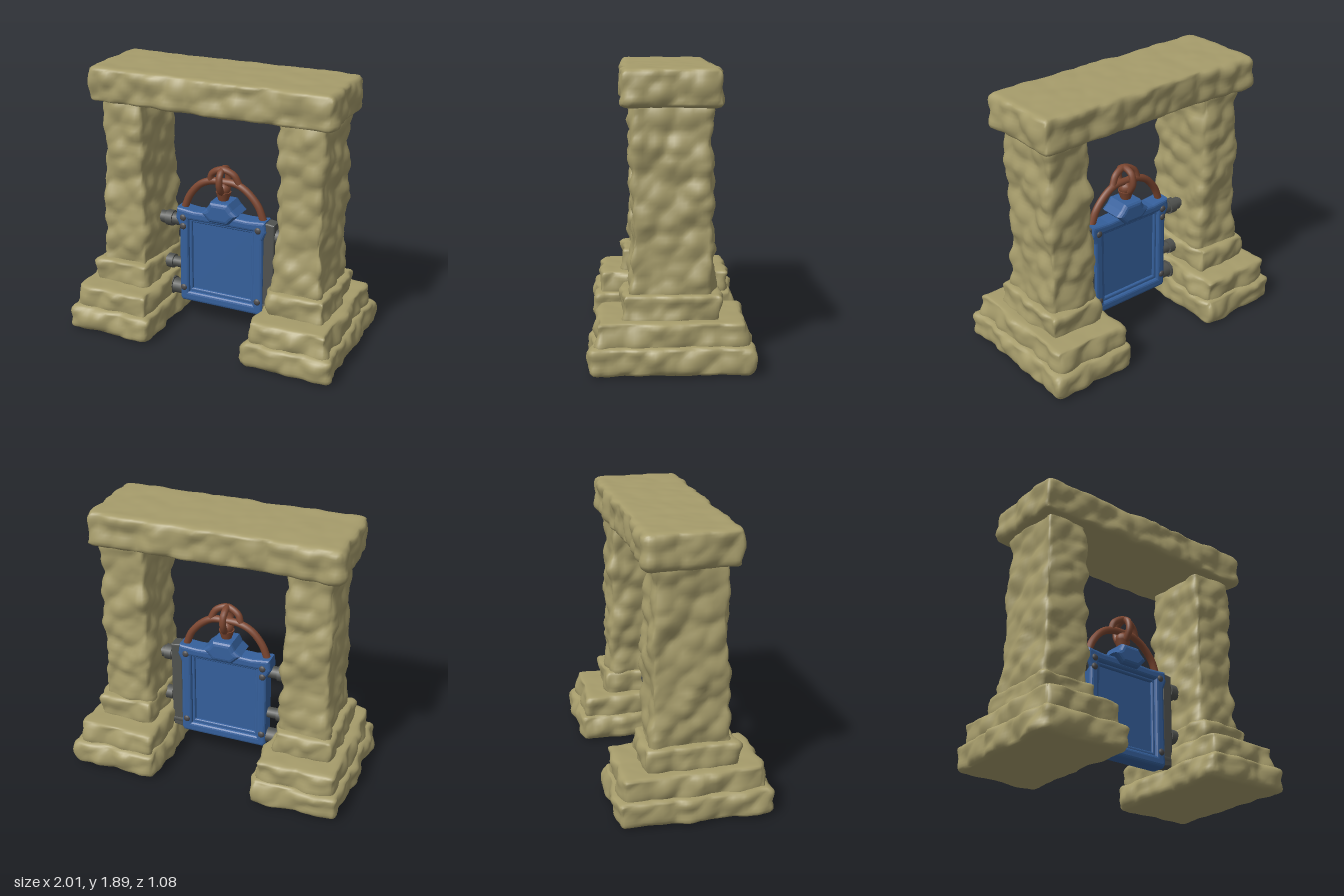
import * as THREE from 'three';
import { mergeVertices } from 'three/addons/utils/BufferGeometryUtils.js';

const mat = (name, color, extra = {}) => {
  const m = new THREE.MeshStandardMaterial({ color, ...extra });
  m.name = name;
  return m;
};

// Seeded hash, and distance to the nearest scattered point (chipped-stone pattern)
const hash = (x, y, z, k) => {
  const s = Math.sin(x * 127.1 + y * 311.7 + z * 74.7 + k * 53.3) * 43758.5453;
  return s - Math.floor(s);
};
function chips(x, y, z) {
  const ix = Math.floor(x), iy = Math.floor(y), iz = Math.floor(z);
  let best = 9;
  for (let a = -1; a < 2; a++) for (let b = -1; b < 2; b++) for (let c = -1; c < 2; c++) {
    const i = ix + a, j = iy + b, k = iz + c;
    best = Math.min(best, Math.hypot(i + hash(i, j, k, 1) - x, j + hash(i, j, k, 2) - y, k + hash(i, j, k, 3) - z));
  }
  return best;
}

// Rough block: a rounded box whose sides are chipped, with flatter top and bottom
function stoneGeometry(w, h, d, cx, cy, radius, flare = 0) {
  const n = (s) => Math.ceil(s / 0.024);
  let g = new THREE.BoxGeometry(w, h, d, n(w), n(h), n(d));
  g.deleteAttribute('normal');
  g.deleteAttribute('uv');
  g = mergeVertices(g, 1e-4);
  const pos = g.attributes.position;
  const p = new THREE.Vector3(), q = new THREE.Vector3(), dir = new THREE.Vector3();
  const inner = new THREE.Vector3(w / 2 - radius, h / 2 - radius, d / 2 - radius);
  for (let i = 0; i < pos.count; i++) {
    p.fromBufferAttribute(pos, i);
    q.copy(p).clamp(inner.clone().negate(), inner);
    dir.copy(p).sub(q).normalize();
    const X = p.x + cx, Y = p.y + cy, Z = p.z;
    const bump = 0.05 * (0.47 - chips(X * 7.5, Y * 7.5, Z * 7.5))
      + 0.045 * (0.47 - chips(X * 3.5 + 9, Y * 3.5, Z * 3.5));
    p.copy(q).addScaledVector(dir, radius);
    p.x += dir.x * bump;
    p.z += dir.z * bump;
    p.y += dir.y * bump * 0.15;
    const f = 1 + flare * (0.5 - p.y / h);
    pos.setXYZ(i, p.x * f, p.y, p.z * f);
  }
  g.computeVertexNormals();
  return g;
}

export function createModel() {
  const model = new THREE.Group();
  const stone = mat('sandstone', 0xa69c6b);
  const blue = mat('blue paint', 0x35609c);
  const iron = mat('dark iron', 0x50524f);
  const rope = mat('brown rope', 0x7c4630);
  const stud = mat('stud metal', 0x4b4a4c);

  const add = (name, geometry, material, x = 0, y = 0, z = 0, parent = model) => {
    const mesh = new THREE.Mesh(geometry, material);
    mesh.name = name;
    mesh.position.set(x, y, z);
    parent.add(mesh);
    return mesh;
  };
  const block = (name, x0, x1, y0, y1, depth, radius, flare) => {
    const cx = (x0 + x1) / 2, cy = (y0 + y1) / 2;
    add(name, stoneGeometry(x1 - x0, y1 - y0, depth, cx, cy, radius, flare), stone, cx, cy, 0);
  };

  // Stone arch: stepped feet, pillars and lintel
  for (const s of [-1, 1]) {
    const side = s > 0 ? 'left' : 'right';
    const pair = (a, b) => (s > 0 ? [a, b] : [-b, -a]);
    block(side + 'BaseStep', ...pair(0.345, 0.985), 0.005, 0.19, 1.03, 0.05);
    block(side + 'MiddleStep', ...pair(0.38, 0.945), 0.15, 0.335, 0.95, 0.04);
    block(side + 'UpperStep', ...pair(0.45, 0.865), 0.3, 0.49, 0.63, 0.035);
    block(side + 'Pillar', ...pair(0.49, 0.81), 0.44, 1.68, 0.49, 0.04, 0.1);
  }
  block('lintel', -0.875, 0.875, 1.645, 1.885, 0.63, 0.045);

  // Gate
  const gate = new THREE.Group();
  gate.name = 'gate';
  model.add(gate);
  const outline = (pts, Type = THREE.Shape) => new Type(pts.map(([x, y]) => new THREE.Vector2(x, y)));
  const slab = (shape, depth, bevel) => new THREE.ExtrudeGeometry(shape, {
    depth: depth - 2 * bevel, bevelThickness: bevel, bevelSize: bevel, bevelOffset: -bevel, bevelSegments: 3,
  }).translate(0, 0, bevel - depth / 2);
  const rect = (x, y0, y1) => [[-x, y0], [x, y0], [x, y1], [-x, y1]];

  const frame = outline([[-0.3, 0.165], [0.31, 0.165], [0.325, 0.19], [0.32, 0.74], [0.345, 0.8], [0.335, 0.875],
    [0.2, 0.865], [0, 0.875], [-0.2, 0.865], [-0.335, 0.88], [-0.345, 0.8], [-0.315, 0.74], [-0.315, 0.19]]);
  frame.holes.push(outline(rect(0.245, 0.24, 0.795).reverse(), THREE.Path));
  add('gateFrame', slab(frame, 0.13, 0.022), blue, 0, 0, 0, gate);

  const lip = outline(rect(0.26, 0.225, 0.81));
  lip.holes.push(outline(rect(0.225, 0.265, 0.775).reverse(), THREE.Path));
  add('innerLip', slab(lip, 0.085, 0.012), blue, 0, 0, 0, gate);
  add('gatePanel', new THREE.BoxGeometry(0.52, 0.58, 0.05), blue, 0, 0.515, 0, gate);

  const boss = outline([[-0.135, 0.885], [-0.07, 0.82], [0.07, 0.82], [0.14, 0.895], [0.1, 0.93], [0.07, 0.97], [-0.065, 0.97], [-0.09, 0.92]]);
  add('topBoss', slab(boss, 0.2, 0.03), blue, 0, 0, 0, gate);

  // Studs on both faces
  for (const [x, y] of [[-0.285, 0.81], [0.285, 0.81], [-0.285, 0.745], [-0.285, 0.27], [0.285, 0.27]]) {
    for (const s of [-1, 1]) {
      const m = add('stud', new THREE.SphereGeometry(0.025, 10, 8), stud, x, y, s * 0.062, gate);
      m.scale.z = 0.6;
    }
  }

  // Iron hinge post and the pins running into the pillars
  const post = outline([[0.315, 0.18], [0.39, 0.19], [0.4, 0.25], [0.4, 0.86], [0.32, 0.87]]);
  add('hingePost', slab(post, 0.1, 0.012), iron, 0, 0, 0, gate);
  for (const s of [-1, 1]) {
    for (const [y, r] of [[0.765, 0.045], [0.43, 0.04], [0.24, 0.055]]) {
      add('hingePin', new THREE.CylinderGeometry(r, r, 0.24, 10).rotateZ(Math.PI / 2), iron, s * 0.42, y, 0, gate);
      add('hingeCollar', new THREE.CylinderGeometry(r + 0.012, r + 0.012, 0.05, 10).rotateZ(Math.PI / 2),
        iron, s * (s > 0 ? 0.43 : 0.41), y, 0, gate);
    }
  }

  // Rope handle with its knot
  const tube = (name, pts, r, closed = false) => add(name, new THREE.TubeGeometry(
    new THREE.CatmullRomCurve3(pts.map((p) => new THREE.Vector3(...p)), closed), 40, r, 10, closed), rope, 0, 0, 0, gate);
  tube('ropeArch', [[-0.3, 0.86, 0], [-0.26, 0.96, 0], [-0.18, 1.055, 0], [-0.09, 1.095, 0], [0, 1.1, 0],
    [0.1, 1.095, 0], [0.18, 1.05, 0], [0.26, 0.96, 0], [0.3, 0.86, 0]], 0.026);
  tube('ropeTopLoop', [[-0.1, 1.1, 0], [-0.08, 1.155, 0.01], [0, 1.195, 0.02], [0.08, 1.165, 0.01], [0.115, 1.1, 0]], 0.024);
  tube('ropeCrossLoop', [[0, 1.03, 0.03], [0, 1.1, 0.075], [0, 1.17, 0.06], [0, 1.195, 0],
    [0, 1.17, -0.06], [0, 1.1, -0.075], [0, 1.03, -0.03]], 0.024, true);
  add('ropeKnot', new THREE.SphereGeometry(0.05, 14, 10), rope, 0, 1.05, 0, gate);
  add('ropeNeck', new THREE.CylinderGeometry(0.055, 0.03, 0.08, 12), rope, 0, 0.99, 0, gate);

  return model;
}
